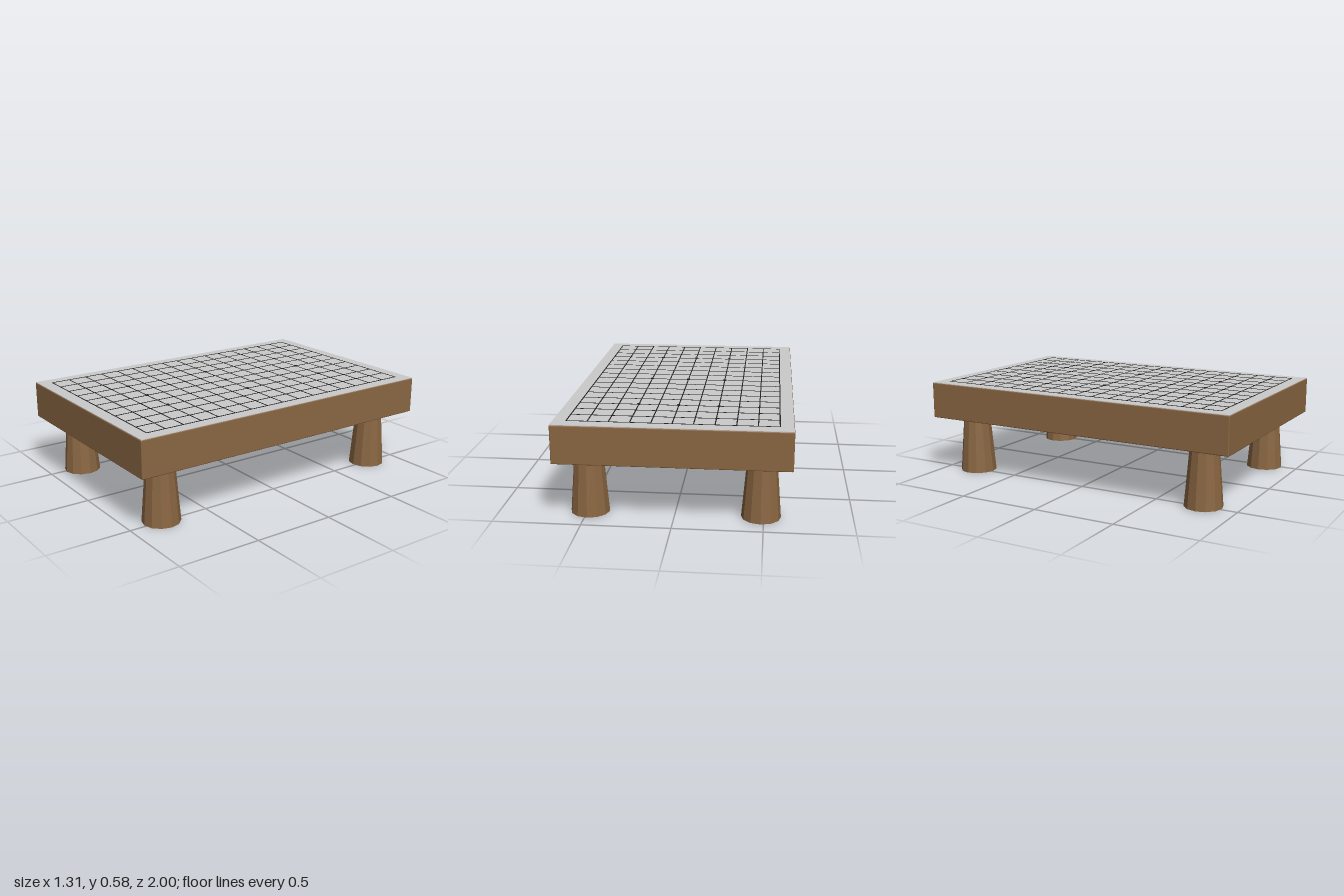
import * as THREE from 'three';
import { RoundedBoxGeometry } from 'three/addons/geometries/RoundedBoxGeometry.js';

const wood = new THREE.MeshStandardMaterial({ color: 0x8a6642 });
const legWood = new THREE.MeshStandardMaterial({ color: 0x8a6642, flatShading: true });
const grey = new THREE.MeshStandardMaterial({ color: 0xcccccc });
const ink = new THREE.MeshStandardMaterial({ color: 0x222222 });

const STEP = 0.115;   // spacing of the grid
const COLS = 10;      // cells across
const ROWS = 16;      // cells along
const TOP = 0.573;    // height of the playing surface

export function createModel() {
  const model = new THREE.Group();
  model.name = 'boardTable';

  const add = (parent, name, geometry, material, x, y, z) => {
    const mesh = new THREE.Mesh(geometry, material);
    mesh.name = name;
    mesh.position.set(x, y, z);
    parent.add(mesh);
    return mesh;
  };

  // Thick wooden slab with softened edges
  add(model, 'slab', new RoundedBoxGeometry(1.306, 0.221, 2, 2, 0.006), wood, 0, 0.4595, 0);

  // Thin playing surface
  add(model, 'boardTop', new THREE.BoxGeometry(1.3, 0.006, 1.994), grey, 0, TOP - 0.003, 0);

  // Grid lines
  const grid = new THREE.Group();
  grid.name = 'gridLines';
  model.add(grid);
  const width = COLS * STEP, length = ROWS * STEP, line = 0.006;
  const lengthwise = new THREE.BoxGeometry(line, 0.002, length + line);
  const crosswise = new THREE.BoxGeometry(width + line, 0.002, line);
  for (let i = 0; i <= COLS; i++)
    add(grid, 'lengthwiseLine', lengthwise, ink, i * STEP - width / 2, TOP + 0.001, 0);
  for (let j = 0; j <= ROWS; j++)
    add(grid, 'crosswiseLine', crosswise, ink, 0, TOP + 0.0006, j * STEP - length / 2);

  // Marker dots
  const dot = new THREE.CylinderGeometry(0.01, 0.01, 0.005, 12);
  for (const i of [-2, 0, 2])
    for (const j of [-5, 0, 5])
      add(grid, 'markerDot', dot, ink, i * STEP, TOP + 0.0025, j * STEP);

  // Four tapered, faceted legs
  const leg = new THREE.CylinderGeometry(0.083, 0.112, 0.35, 12);
  for (const x of [-0.485, 0.485])
    for (const z of [-0.79, 0.79])
      add(model, 'leg', leg, legWood, x, 0.175, z);

  return model;
}
